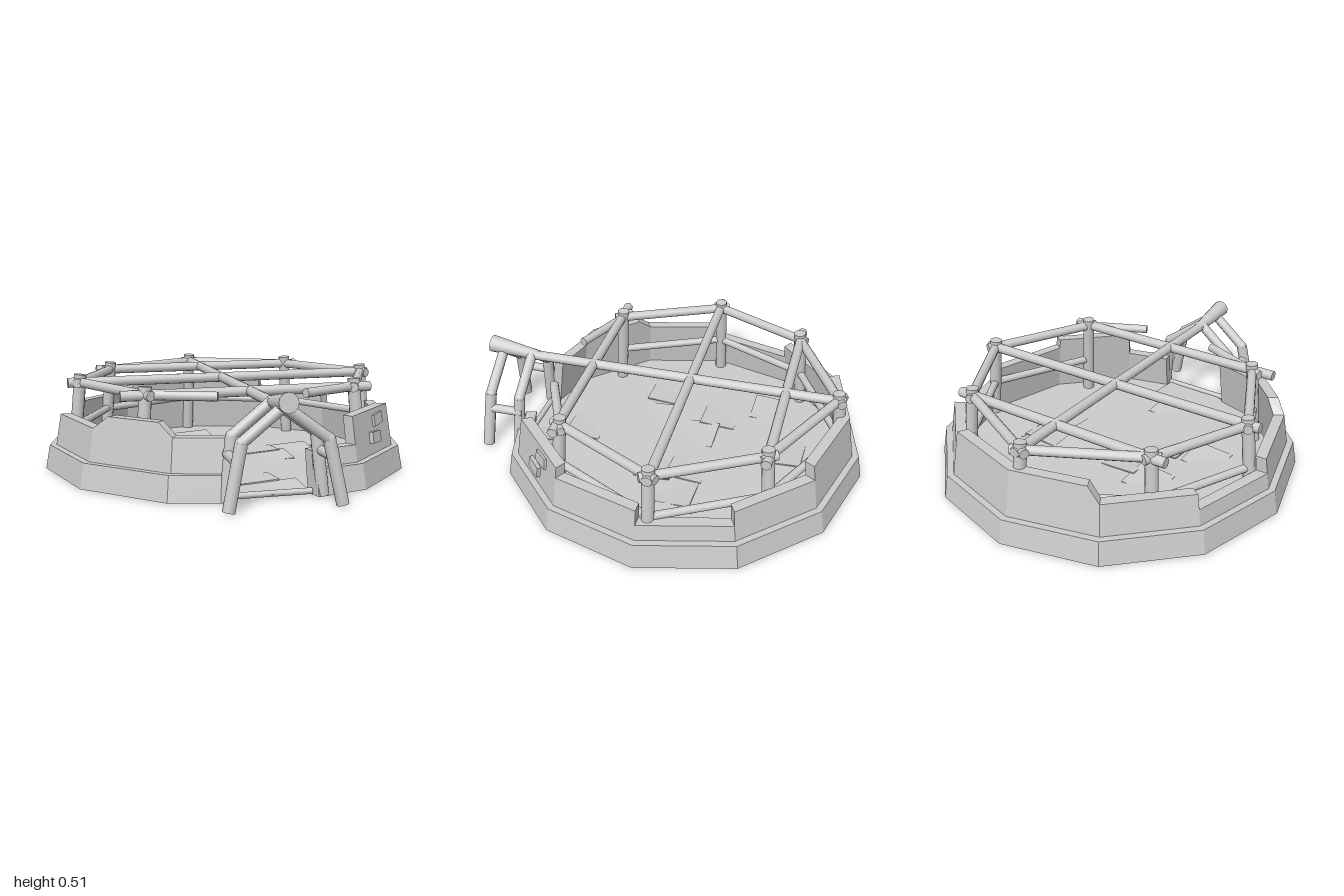
import * as THREE from 'three';

const CZ = -0.07; // centre of the round wall
const grey = new THREE.MeshStandardMaterial({ color: 0xcccccc });
const flat = new THREE.MeshStandardMaterial({ color: 0xcccccc, flatShading: true });
const flatDouble = new THREE.MeshStandardMaterial({ color: 0xcccccc, flatShading: true, side: THREE.DoubleSide });
const V = (x, y, z) => new THREE.Vector3(x, y, z);

function add(parent, name, geometry, material) {
  const mesh = new THREE.Mesh(geometry, material);
  mesh.name = name;
  parent.add(mesh);
  return mesh;
}

// Round pole between two points
function pole(parent, name, a, b, ra = 0.025, rb = ra) {
  const mesh = add(parent, name, new THREE.CylinderGeometry(rb, ra, a.distanceTo(b), 12), grey);
  mesh.position.copy(a).lerp(b, 0.5);
  mesh.quaternion.setFromUnitVectors(V(0, 1, 0), b.clone().sub(a).normalize());
  return mesh;
}

// Point on a twelve-sided ring; t counts sides from the front towards +x
function ringPoint(t, r, y) {
  const k = Math.floor(t), corner = (j) => V(Math.sin(j * Math.PI / 6) * r, y, CZ + Math.cos(j * Math.PI / 6) * r);
  return corner(k).lerp(corner(k + 1), t - k);
}

// Stepped wall cross-section at t with its top at height h
function section(t, h) {
  return [[0.93, 0], [0.908, 0.12], [0.875, 0.12], [0.895 - 0.165 * h, h], [0.835 - 0.15 * h, h], [0.835, 0]]
    .map(([r, y]) => ringPoint(t, r, y));
}

// Closed block of wall between two cross-sections
function wallPanel(t0, t1, h0, h1) {
  const a = section(t0, h0), b = section(t1, h1), pts = [];
  for (let i = 0; i < 6; i++) {
    const j = (i + 1) % 6;
    pts.push(a[i], b[i], b[j], a[i], b[j], a[j]);
  }
  for (const [i, j, k] of [[2, 3, 4], [2, 4, 5], [2, 5, 0], [2, 0, 1]]) {
    pts.push(a[i], a[j], a[k], b[i], b[k], b[j]);
  }
  const g = new THREE.BufferGeometry().setFromPoints(pts);
  g.computeVertexNormals();
  return g;
}

export function createModel() {
  const model = new THREE.Group();
  model.name = 'ruinedHut';

  // Broken wall: start, end, height at start, height at end
  const wall = new THREE.Group();
  wall.name = 'wall';
  model.add(wall);
  const panels = [
    [0.45, 1, 0.2, 0.2], [1, 2, 0.33, 0.33], [2, 3, 0.275, 0.275], [3, 4, 0.2, 0.2],
    [4, 5, 0.275, 0.275], [5, 6, 0.35, 0.35], [6, 6.87, 0.35, 0.35], [6.87, 7, 0.35, 0.275],
    [7, 8, 0.275, 0.275], [8, 9, 0.2, 0.2], [9, 10, 0.275, 0.275],
    [10, 10.18, 0.275, 0.335], [10.18, 10.82, 0.335, 0.335], [10.82, 11, 0.335, 0.275], [11, 11.55, 0.275, 0.275],
  ];
  for (const p of panels) add(wall, 'wallPanel', wallPanel(...p), flat);

  // Floor
  const floor = add(model, 'floor', new THREE.CircleGeometry(0.85, 12, Math.PI / 2), flatDouble);
  floor.rotation.x = -Math.PI / 2;
  floor.position.set(0, 0.018, CZ);

  // Loose slabs, slightly tilted through the floor
  const slabs = [[-0.42, -0.45], [-0.05, -0.6], [-0.42, 0.14], [-0.2, 0.12], [0.2, -0.14], [0.4, -0.13],
    [0.6, -0.15], [0.23, 0.02], [0, 0.48], [-0.1, -0.12], [-0.28, -0.2], [0.08, 0.66]];
  slabs.forEach(([x, z], i) => {
    const slab = add(model, 'floorSlab', new THREE.BoxGeometry(0.2, 0.006, 0.19), flat);
    slab.position.set(x, 0.018, z);
    slab.rotation.set(i % 2 ? 0.06 : -0.07, 0, i % 3 ? 0.07 : -0.06);
  });

  // Posts, leaning slightly inwards
  const frame = new THREE.Group();
  frame.name = 'poleFrame';
  model.add(frame);
  const tops = [[0.53, 0.4], [0.775, -0.11], [0.5, -0.59], [-0.02, -0.84], [-0.53, -0.565], [-0.745, -0.08], [-0.5, 0.425]];
  const postAt = (i, y) => {
    const [x, z] = tops[i], s = 1 + 0.06 * (0.47 - y) / 0.47;
    return V(x * s, y, CZ + (z - CZ) * s);
  };
  tops.forEach((_, i) => pole(frame, 'post', postAt(i, 0.002), postAt(i, 0.47), 0.031));

  // Upper and lower rails between neighbouring posts
  for (let i = 0; i < 6; i++) {
    for (const [name, y, over] of [['upperRail', 0.43, 0.08], ['lowerRail', 0.21, 0]]) {
      const a = postAt(i, y), b = postAt(i + 1, y), d = b.clone().sub(a).multiplyScalar(over);
      pole(frame, name, a.sub(d), b.add(d), y > 0.3 ? 0.024 : 0.02);
    }
  }
  pole(frame, 'brokenRail', V(0.59, 0.43, 0.375), V(0.23, 0.43, 0.55), 0.022);
  pole(frame, 'brokenRail', V(-0.56, 0.43, 0.4), V(-0.19, 0.43, 0.55), 0.022);

  // Roof beams
  pole(frame, 'crossBeam', V(-0.61, 0.43, -0.57), V(0.57, 0.43, -0.595));
  pole(frame, 'crossBeam', V(-0.81, 0.43, -0.075), V(0.82, 0.43, -0.115));
  pole(frame, 'crossBeam', V(-0.62, 0.43, 0.435), V(0.61, 0.43, 0.41));
  pole(frame, 'ridgeBeam', V(-0.015, 0.43, -0.88), V(0, 0.43, 0.75), 0.025);
  pole(frame, 'ridgeEnd', V(0, 0.43, 0.73), V(0, 0.463, 0.99), 0.026, 0.045);

  // Entrance: two bent frames joined by side rails
  const entrance = new THREE.Group();
  entrance.name = 'entrance';
  model.add(entrance);
  for (const s of [-1, 1]) {
    const dx = 0.01;
    for (const [z, footX, footZ] of [[0.765, 0.225, 0.78], [0.925, 0.255, 0.945]]) {
      const apex = V(0, 0.44, z), knee = V(s * 0.195 + dx, 0.29, z), foot = V(s * footX + dx, 0.002, footZ);
      pole(entrance, 'rafter', apex, knee, 0.026);
      pole(entrance, 'leg', foot, knee, 0.029);
      const joint = add(entrance, 'joint', new THREE.SphereGeometry(0.028, 12, 8), grey);
      joint.position.copy(knee);
    }
    pole(entrance, 'sideRail', V(s * 0.21 + dx, 0.21, 0.75), V(s * 0.215 + dx, 0.21, 0.94), 0.023);
  }
  pole(entrance, 'threshold', V(-0.17, 0.02, 0.76), V(0.19, 0.02, 0.76), 0.015);

  // Loose bricks on the outer wall
  for (const [x, y, z, tilt] of [[0.62, 0.275, 0.46, 0.08], [0.592, 0.197, 0.515, -0.06]]) {
    const brick = add(model, 'looseBrick', new THREE.BoxGeometry(0.1, 0.055, 0.04), flat);
    brick.position.set(x, y, z);
    brick.rotation.set(-0.15, Math.PI / 4, tilt, 'YXZ');
  }
  return model;
}
